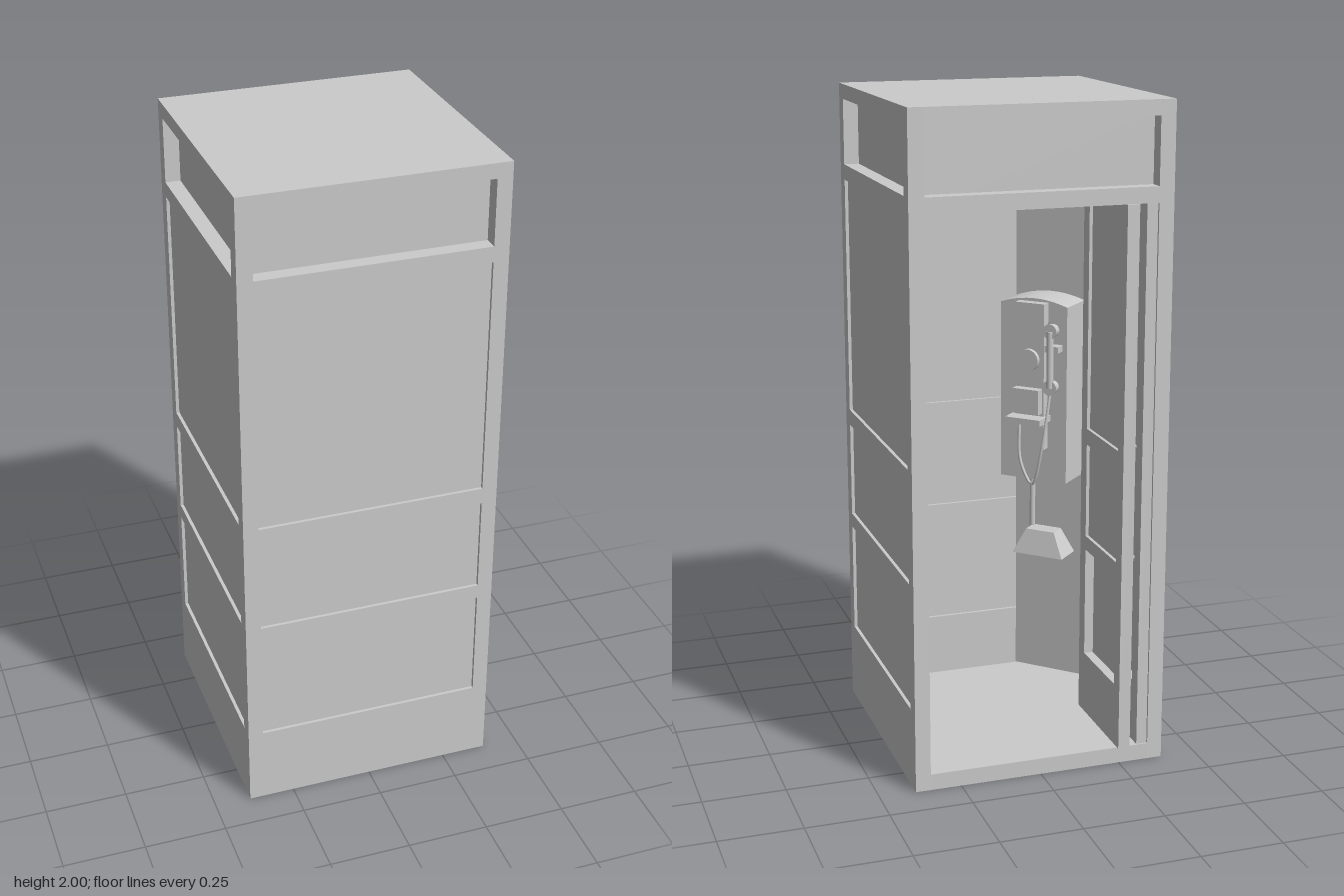
import * as THREE from 'three';

const material = new THREE.MeshStandardMaterial({ color: 0xcccccc });
const HALF = 0.39, POST = 0.046, INNER = HALF - POST, TOP = 2;
const CEILING = 1.71, SILL = 0.05;
// Bottom and top of each wall panel, then of the sign window
const PANELS = [[0.245, 0.59], [0.635, 0.93], [0.98, CEILING]];
const SIGN = [1.757, 1.955];

function add(parent, name, geometry, x = 0, y = 0, z = 0) {
  const mesh = new THREE.Mesh(geometry, material);
  mesh.name = name;
  mesh.position.set(x, y, z);
  parent.add(mesh);
  return mesh;
}

// Box given by its lower and upper limits on each axis
function block(parent, name, [x0, x1], [y0, y1], [z0, z1]) {
  return add(parent, name, new THREE.BoxGeometry(x1 - x0, y1 - y0, z1 - z0),
    (x0 + x1) / 2, (y0 + y1) / 2, (z0 + z1) / 2);
}

// Rails fill the gaps between the openings from bottom to top
function rails(parent, xs, zs, bottom, top, openings) {
  let y = bottom;
  for (const [low, high] of [...openings, [top, top]]) {
    if (low > y) block(parent, 'rail', xs, [y, low], zs);
    y = high;
  }
}

// Wall facing +z, turned into place by the caller
function wall(name, isDoorway) {
  const group = new THREE.Group();
  group.name = name;
  const xs = [-INNER, INNER], zs = [INNER, HALF];
  rails(group, xs, zs, 0, TOP, isDoorway ? [[SILL, CEILING], SIGN] : [...PANELS, SIGN]);
  if (!isDoorway) {
    for (const ys of PANELS) block(group, 'wallPanel', xs, ys, [INNER + 0.01, HALF - 0.01]);
  }
  return group;
}

// Door leaf lying in the yz plane, with panels set near its -x side
function doorLeaf(name, x0, x1, z0, z1) {
  const group = new THREE.Group();
  group.name = name;
  const stile = 0.045, y0 = SILL, y1 = CEILING;
  block(group, 'stile', [x0, x1], [y0, y1], [z0, z0 + stile]);
  block(group, 'stile', [x0, x1], [y0, y1], [z1 - stile, z1]);
  const zs = [z0 + stile, z1 - stile];
  const openings = [PANELS[0], PANELS[1], [0.98, CEILING - 0.045]];
  rails(group, [x0, x1], zs, y0, y1, openings);
  openings.forEach((ys, i) => {
    const face = i === 0 ? x0 + 0.008 : x1 - 0.01;
    block(group, 'leafPanel', [x0 + 0.002, face], ys, zs);
  });
  return group;
}

// Telephone set on a board across the corner; its front is local +z
function telephone() {
  const group = new THREE.Group();
  group.name = 'telephone';
  block(group, 'cornerBoard', [-0.125, 0.125], [SILL, CEILING], [-0.012, 0]);

  // Housing with an arched top
  const outline = new THREE.Shape();
  outline.moveTo(-0.115, 0.75);
  outline.lineTo(0.115, 0.75);
  outline.lineTo(0.115, 1.32);
  outline.quadraticCurveTo(0, 1.36, -0.115, 1.32);
  add(group, 'housing', new THREE.ExtrudeGeometry(outline,
    { depth: 0.13, bevelEnabled: false, curveSegments: 10 }));
  block(group, 'facePlate', [-0.05, 0.05], [0.86, 1.33], [0.13, 0.16]);
  block(group, 'coinBox', [-0.045, 0.045], [0.98, 1.06], [0.16, 0.19]);
  block(group, 'ledge', [-0.06, 0.06], [0.95, 0.97], [0.13, 0.21]);
  const dial = add(group, 'dial', new THREE.CylinderGeometry(0.035, 0.035, 0.015, 24), 0, 1.15, 0.167);
  dial.rotation.x = Math.PI / 2;

  // Handset on its cradle
  block(group, 'cradle', [0.055, 0.1], [1.18, 1.2], [0.13, 0.165]);
  const grip = add(group, 'handsetGrip', new THREE.CylinderGeometry(0.011, 0.011, 0.18, 12), 0.078, 1.16, 0.175);
  for (const y of [-0.09, 0.09]) {
    const cup = add(grip, 'handsetCup', new THREE.CylinderGeometry(0.02, 0.024, 0.03, 16), 0, y, -0.01);
    cup.rotation.x = -Math.PI / 2;
  }
  const cord = new THREE.CatmullRomCurve3([
    [0.078, 1.06, 0.17], [0.06, 0.88, 0.19], [0.02, 0.75, 0.18], [-0.02, 0.82, 0.18], [-0.03, 0.95, 0.17],
  ].map(p => new THREE.Vector3(...p)));
  add(group, 'cord', new THREE.TubeGeometry(cord, 32, 0.005, 8));

  // Conduit and sloping box below the housing
  add(group, 'conduit', new THREE.CylinderGeometry(0.009, 0.009, 0.25, 12), -0.05, 0.63, 0.03);
  const lower = add(group, 'lowerBox', new THREE.CylinderGeometry(0.07, 0.125, 0.08, 4), 0, 0.52, 0.05);
  lower.geometry = lower.geometry.toNonIndexed();
  lower.geometry.rotateY(Math.PI / 4);
  lower.geometry.scale(1, 1, 0.55);
  lower.geometry.computeVertexNormals();
  return group;
}

export function createModel() {
  const booth = new THREE.Group();
  booth.name = 'booth';
  const body = new THREE.Group();
  body.name = 'body';
  body.position.z = 0.005;
  booth.add(body);

  // Corner posts
  for (const sx of [-1, 1]) {
    for (const sz of [-1, 1]) {
      add(body, 'cornerPost', new THREE.BoxGeometry(POST, TOP, POST),
        sx * (HALF - POST / 2), TOP / 2, sz * (HALF - POST / 2));
    }
  }

  // Three panelled walls and the doorway at the back
  ['frontWall', 'leftWall', 'doorway', 'rightWall'].forEach((name, i) => {
    const side = wall(name, name === 'doorway');
    side.rotation.y = i * Math.PI / 2;
    body.add(side);
  });

  // Floor, roof and the box behind the sign windows
  const span = [-INNER, INNER];
  block(body, 'floor', span, [0, SILL - 0.002], span);
  block(body, 'signBox', span, [CEILING, 1.96], span);
  block(body, 'roof', span, [1.955, TOP], span);

  // Folding door, open against the right wall
  booth.add(doorLeaf('hingedLeaf', -0.343, -0.31, -0.38, -0.05));
  booth.add(doorLeaf('foldedLeaf', -0.282, -0.245, -0.395, -0.05));
  block(booth, 'doorHinge', [-0.31, -0.282], [SILL, CEILING], [-0.065, -0.055]);

  // Telephone in the front right corner, facing the doorway
  const phone = telephone();
  phone.position.set(-0.255, 0, 0.26);
  phone.rotation.y = Math.PI * 0.75;
  booth.add(phone);

  return booth;
}
